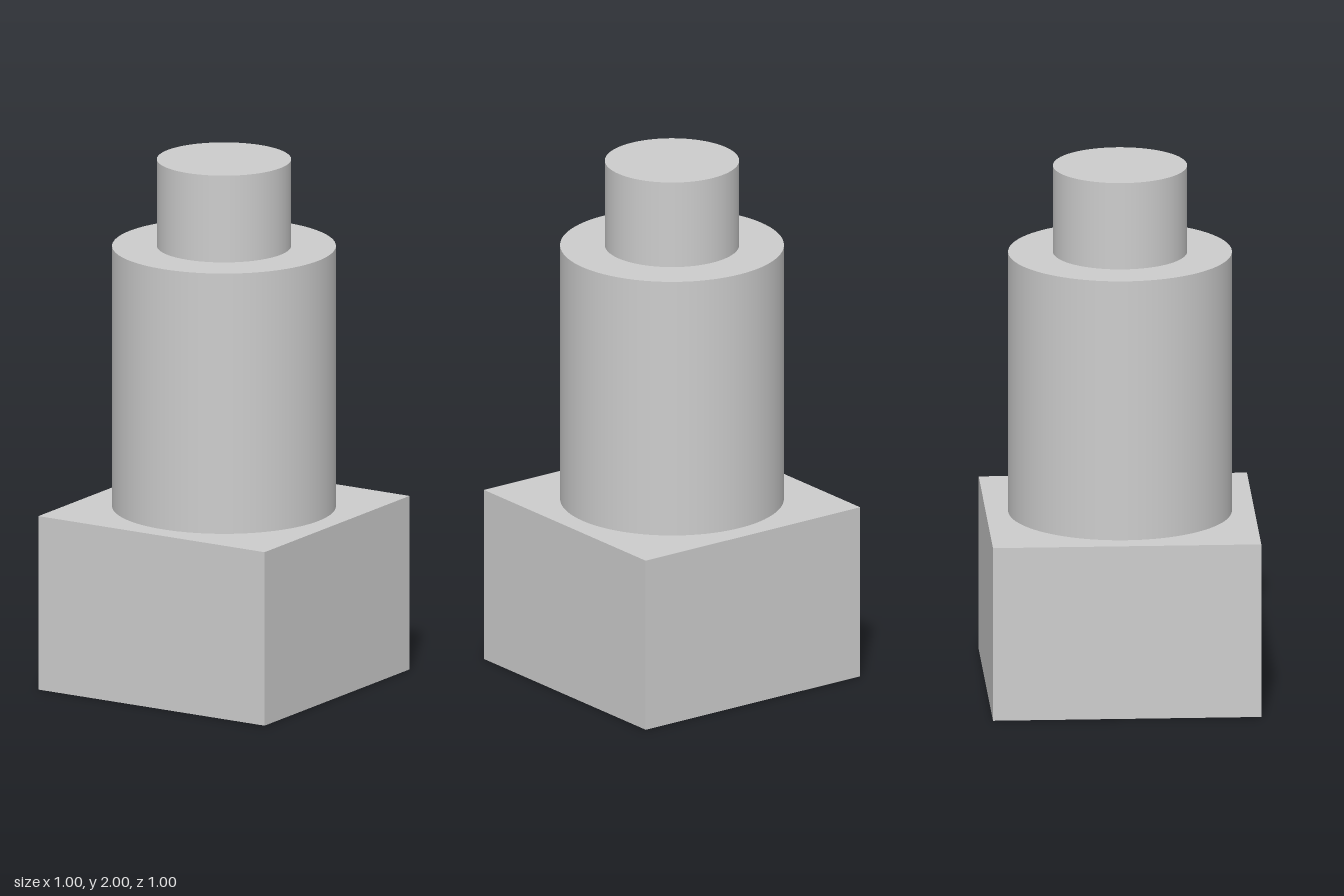
import * as THREE from 'three';

export function createModel() {
  const model = new THREE.Group();
  model.name = 'steppedPost';
  const grey = new THREE.MeshStandardMaterial({ color: 0xcccccc });
  grey.name = 'light grey';

  const baseTop = 2 / 3, bodyTop = 5 / 3, top = 2;

  // Places a part so that it spans from bottom to top
  function addPart(name, geometry, bottom, height) {
    const mesh = new THREE.Mesh(geometry, grey);
    mesh.name = name;
    mesh.position.y = bottom + height / 2;
    model.add(mesh);
  }

  function addCylinder(name, radius, bottom, end) {
    const height = end - bottom;
    addPart(name, new THREE.CylinderGeometry(radius, radius, height, 96), bottom, height);
  }

  // Square base
  addPart('base', new THREE.BoxGeometry(1, baseTop, 1), 0, baseTop);
  // Wide round body and the narrower pin on top
  addCylinder('body', 5 / 12, baseTop, bodyTop);
  addCylinder('pin', 0.25, bodyTop, top);

  return model;
}
